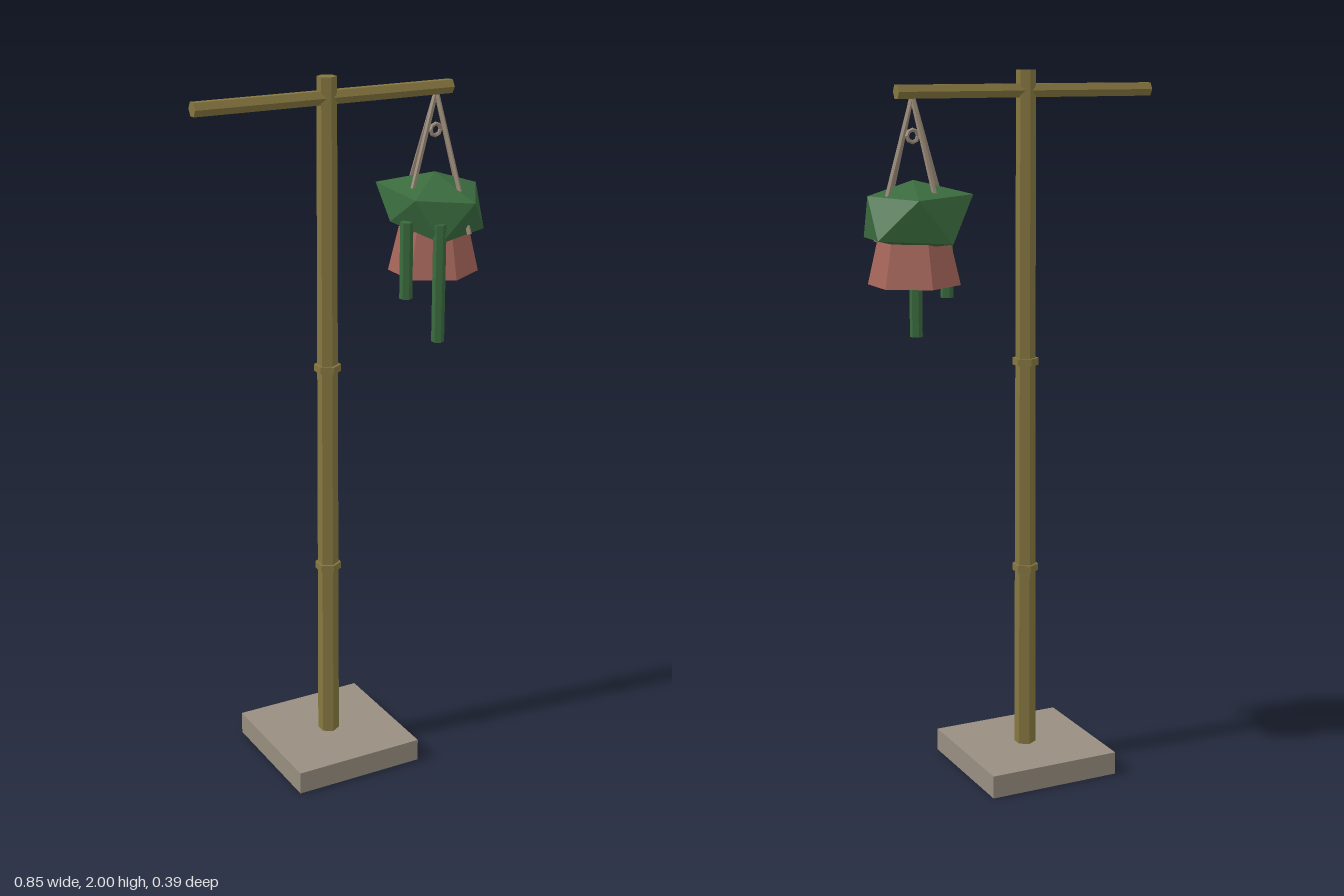
import * as THREE from 'three';

const mat = (color) => new THREE.MeshStandardMaterial({ color, flatShading: true, side: THREE.DoubleSide });
const WOOD = mat(0x85763f), STONE = mat(0x988e80), CLAY = mat(0xa5655a);
const LEAF = mat(0x3a6b3e), VINE = mat(0x3a6b3e), ROPE = mat(0x9a8a78);
const POLE_X = -0.045, POT_X = 0.29;

function add(parent, name, geometry, material, x = 0, y = 0, z = 0) {
  const mesh = new THREE.Mesh(geometry, material);
  mesh.name = name;
  mesh.position.set(x, y, z);
  parent.add(mesh);
  return mesh;
}

// Thin straight rod between two points
function rod(parent, name, a, b, radius, material) {
  const dir = b.clone().sub(a);
  const mesh = add(parent, name, new THREE.CylinderGeometry(radius, radius, dir.length(), 5), material);
  mesh.position.copy(a).add(b).multiplyScalar(0.5);
  mesh.quaternion.setFromUnitVectors(new THREE.Vector3(0, 1, 0), dir.normalize());
  return mesh;
}

// Faceted clump: crown point, upper ring, staggered lower ring, bottom point
function foliageGeometry() {
  const upper = [[0.125, 0.055, 0.015], [0.04, 0.03, 0.148], [-0.12, 0.045, 0.1], [-0.13, 0.06, -0.1], [0.04, 0.05, -0.132]];
  const lower = [[0.11, -0.06, 0.085], [-0.06, -0.07, 0.14], [-0.14, -0.03, 0], [-0.05, -0.065, -0.148], [0.135, -0.055, -0.08]];
  const points = [[0, 0.095, 0], ...upper, ...lower, [0, -0.09, 0]];
  const index = [];
  for (let i = 0; i < 5; i++) {
    const j = (i + 1) % 5;
    const u = 1 + i, u2 = 1 + j, l = 6 + i, l2 = 6 + j;
    index.push(0, u2, u, u, u2, l, l, u2, l2, l, l2, 11);
  }
  const g = new THREE.BufferGeometry();
  g.setAttribute('position', new THREE.Float32BufferAttribute(points.flat(), 3));
  g.setIndex(index);
  const flat = g.toNonIndexed();
  flat.computeVertexNormals();
  return flat;
}

export function createModel() {
  const model = new THREE.Group();
  model.name = 'hangingPlantPost';

  // Plinth, open underneath
  const plinth = new THREE.BoxGeometry(0.39, 0.066, 0.39);
  const faces = Array.from(plinth.index.array);
  faces.splice(18, 6);
  plinth.setIndex(faces);
  plinth.clearGroups();
  add(model, 'base', plinth, STONE, POLE_X, 0.033, 0);

  // Post with its joint rings, and the crossbar
  add(model, 'post', new THREE.CylinderGeometry(0.027, 0.031, 2, 6), WOOD, POLE_X, 1, 0);
  for (const y of [0.6, 1.2])
    add(model, 'jointRing', new THREE.CylinderGeometry(0.037, 0.037, 0.02, 6), WOOD, POLE_X, y, 0);
  const bar = add(model, 'crossbar', new THREE.CylinderGeometry(0.021, 0.021, 0.765, 6), WOOD, -0.047, 1.945, 0);
  bar.rotation.z = Math.PI / 2;

  // Hanging basket
  const basket = new THREE.Group();
  basket.name = 'hangingBasket';
  basket.position.x = POT_X;
  model.add(basket);
  add(basket, 'pot', new THREE.CylinderGeometry(0.097, 0.126, 0.125, 6), CLAY, 0, 1.4975, 0);
  add(basket, 'foliage', foliageGeometry(), LEAF, 0, 1.62, 0);

  // Four ropes spreading from the crossbar, with a small ring between them
  const top = new THREE.Vector3(0, 1.935, 0);
  for (let i = 0; i < 4; i++) {
    const a = 1.27 + i * Math.PI / 2;
    rod(basket, 'rope', top, new THREE.Vector3(Math.cos(a) * 0.13, 1.56, Math.sin(a) * 0.13), 0.007, ROPE);
  }
  add(basket, 'ropeRing', new THREE.TorusGeometry(0.016, 0.006, 5, 8), ROPE, 0, 1.83, 0);

  // Trailing vines: x, z, lower end
  for (const [x, z, end] of [[-0.123, 0.061, 1.385], [-0.058, 0.127, 1.27]])
    add(basket, 'vine', new THREE.CylinderGeometry(0.018, 0.018, 1.6 - end, 6), VINE, x, (1.6 + end) / 2, z);

  return model;
}
